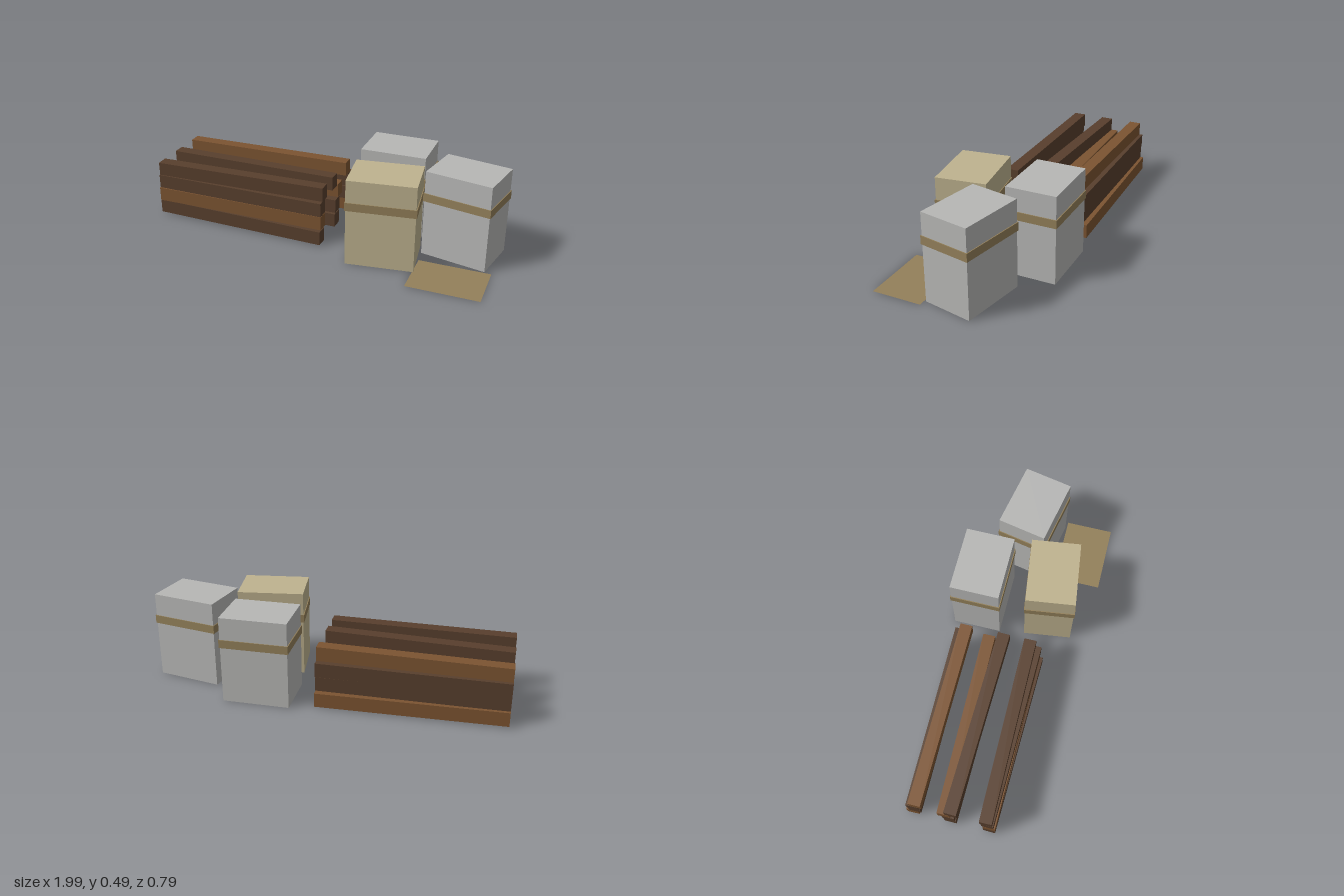
import * as THREE from 'three';

const flat = (name, color, side = THREE.FrontSide) => {
  const m = new THREE.MeshStandardMaterial({ color, side });
  m.name = name;
  return m;
};

export function createModel() {
  const grey = flat('greyCarton', 0xb7b7b5);
  const beige = flat('beigeCarton', 0xbfb38f);
  const tape = flat('tanTape', 0x93805a, THREE.DoubleSide);
  const wood = flat('lightWood', 0x7c5431);
  const darkWood = flat('darkWood', 0x583f2d);

  const model = new THREE.Group();
  const add = (parent, name, geometry, material, x, y, z) => {
    const mesh = new THREE.Mesh(geometry, material);
    mesh.name = name;
    mesh.position.set(x, y, z);
    parent.add(mesh);
    return mesh;
  };

  // Upright cartons, each wrapped by a band of tape
  const W = 0.37, H = 0.49, D = 0.275, OUT = 0.01;
  const bodyGeo = new THREE.BoxGeometry(W, H, D);
  const bandGeo = new THREE.BoxGeometry(W + OUT, 0.046, D + OUT);
  const carton = (name, material, x, z, turn) => {
    const g = new THREE.Group();
    g.name = name;
    g.position.set(x, 0, z);
    g.rotation.y = turn;
    add(g, 'cartonBody', bodyGeo, material, 0, H / 2, 0);
    add(g, 'cartonBand', bandGeo, tape, 0, 0.342, 0);
    model.add(g);
  };
  carton('backCarton', grey, 0.344, -0.256, 0);
  carton('sideCarton', grey, 0.78, -0.06, -0.195);
  carton('frontCarton', beige, 0.385, 0.137, 0.135);

  // Flat sheet lying on the ground
  const sheet = new THREE.PlaneGeometry(0.393, 0.275).rotateX(-Math.PI / 2);
  add(model, 'groundSheet', sheet, tape, 0.777, 0.001, 0.258);

  // Stacked beams, bottom to top: [z at right end, z at left end, material]
  const LENGTH = 1.027;
  const beamGeo = new THREE.BoxGeometry(LENGTH, 0.08, 0.068);
  const layers = [
    { y: 0.048, tilt: -0.005 },
    { y: 0.13, tilt: 0.002 },
    { y: 0.211, tilt: 0.006 },
    { y: 0.289, tilt: 0.01 },
  ];
  const stacks = {
    frontStack: [
      [0.118, 0.142, darkWood], [0.12, 0.125, wood],
      [0.112, 0.128, darkWood], [0.106, 0.096, darkWood],
    ],
    middleStack: [
      [-0.1, -0.09, darkWood], [-0.105, -0.1, darkWood],
      [-0.126, -0.141, wood], [-0.084, -0.055, darkWood],
    ],
    backStack: [
      [-0.311, -0.325, wood], [-0.293, -0.3, darkWood],
      [-0.296, -0.304, darkWood], [-0.276, -0.27, wood],
    ],
  };
  for (const [name, beams] of Object.entries(stacks)) {
    const g = new THREE.Group();
    g.name = name;
    beams.forEach(([z0, z1, material], i) => {
      const { y, tilt } = layers[i];
      const beam = add(g, 'beam', beamGeo, material, -0.486, y, (z0 + z1) / 2);
      beam.rotation.set(0, -Math.atan2(z1 - z0, LENGTH), tilt);
    });
    model.add(g);
  }

  return model;
}
